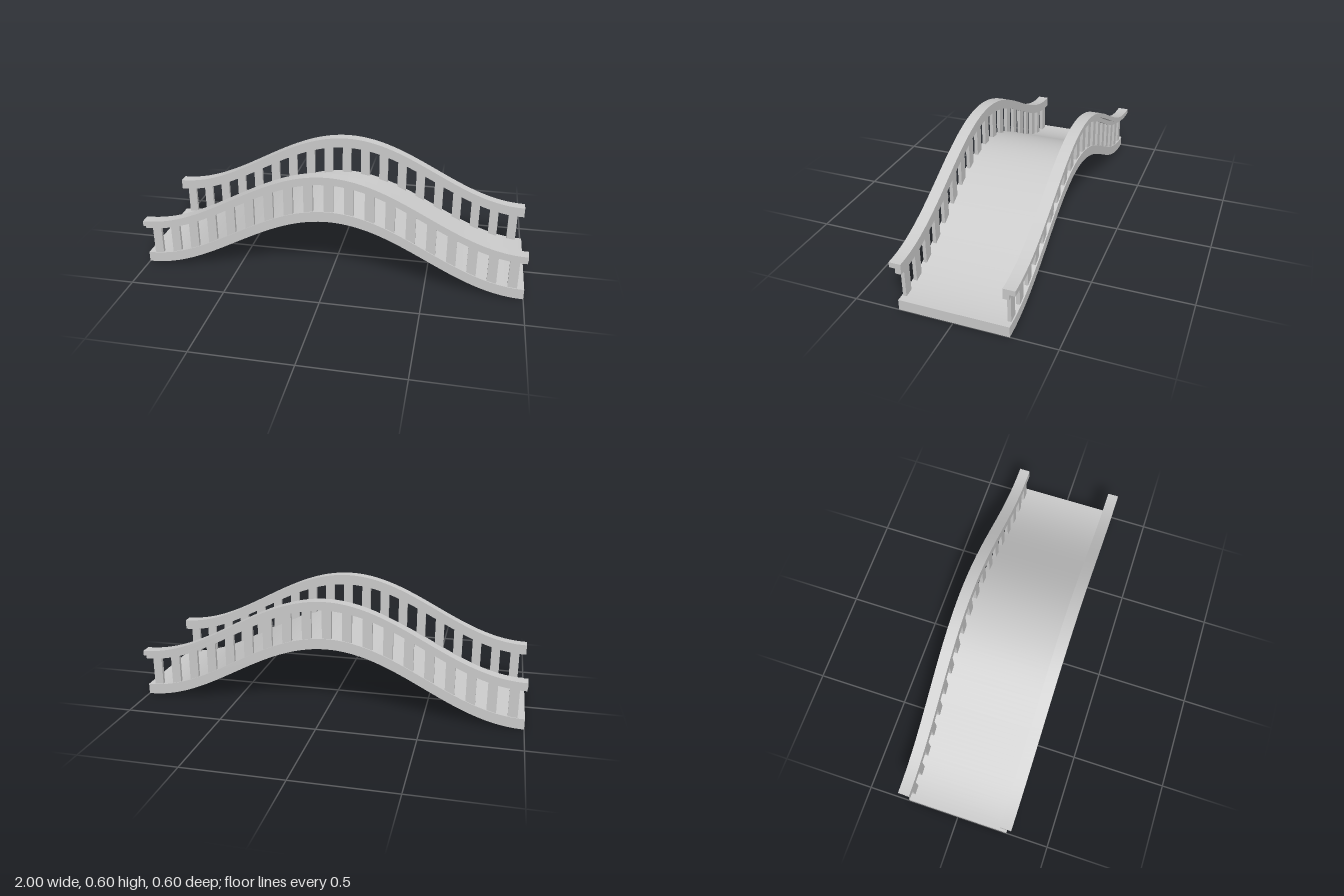
import * as THREE from 'three';
import { toCreasedNormals } from 'three/addons/utils/BufferGeometryUtils.js';

const RISE = 0.337;
const arch = (x) => RISE * (1 + Math.cos(Math.PI * x)) / 2;

const material = new THREE.MeshStandardMaterial({ color: 0xcccccc });

// A strip that follows the arch between x0 and x1, from height y0 to y1 above it.
function archBand(name, [x0, x1], [y0, y1], [z0, z1], segments) {
  const lower = [], upper = [];
  for (let i = 0; i <= segments; i++) {
    const x = x0 + (x1 - x0) * i / segments;
    lower.push(new THREE.Vector2(x, arch(x) + y0));
    upper.unshift(new THREE.Vector2(x, arch(x) + y1));
  }
  const geometry = new THREE.ExtrudeGeometry(new THREE.Shape([...lower, ...upper]), {
    depth: z1 - z0, bevelEnabled: false, steps: 1,
  });
  geometry.translate(0, 0, z0);
  const mesh = new THREE.Mesh(toCreasedNormals(geometry, 0.5), material);
  mesh.name = name;
  return mesh;
}

export function createModel() {
  const bridge = new THREE.Group();
  bridge.name = 'archedFootbridge';

  // Curved walkway
  bridge.add(archBand('deck', [-1, 1], [0, 0.055], [-0.273, 0.273], 80));

  for (const side of [1, -1]) {
    const span = (a, b) => side > 0 ? [a, b] : [-b, -a];
    const railing = new THREE.Group();
    railing.name = side > 0 ? 'frontRailing' : 'backRailing';

    // Handrail: wide cap over a narrower rail flush with the inner edge
    railing.add(archBand('handrailCap', [-1, 1], [0.231, 0.258], span(0.243, 0.302), 80));
    railing.add(archBand('handrailBase', [-1, 1], [0.204, 0.231], span(0.243, 0.273), 80));

    // Evenly spaced flat balusters, their ends sunk into deck and rail
    for (let i = -9; i <= 9; i++) {
      const x = i * 0.1045;
      railing.add(archBand('baluster', [x - 0.024, x + 0.024], [0.05, 0.209], span(0.249, 0.267), 3));
    }
    bridge.add(railing);
  }
  return bridge;
}
